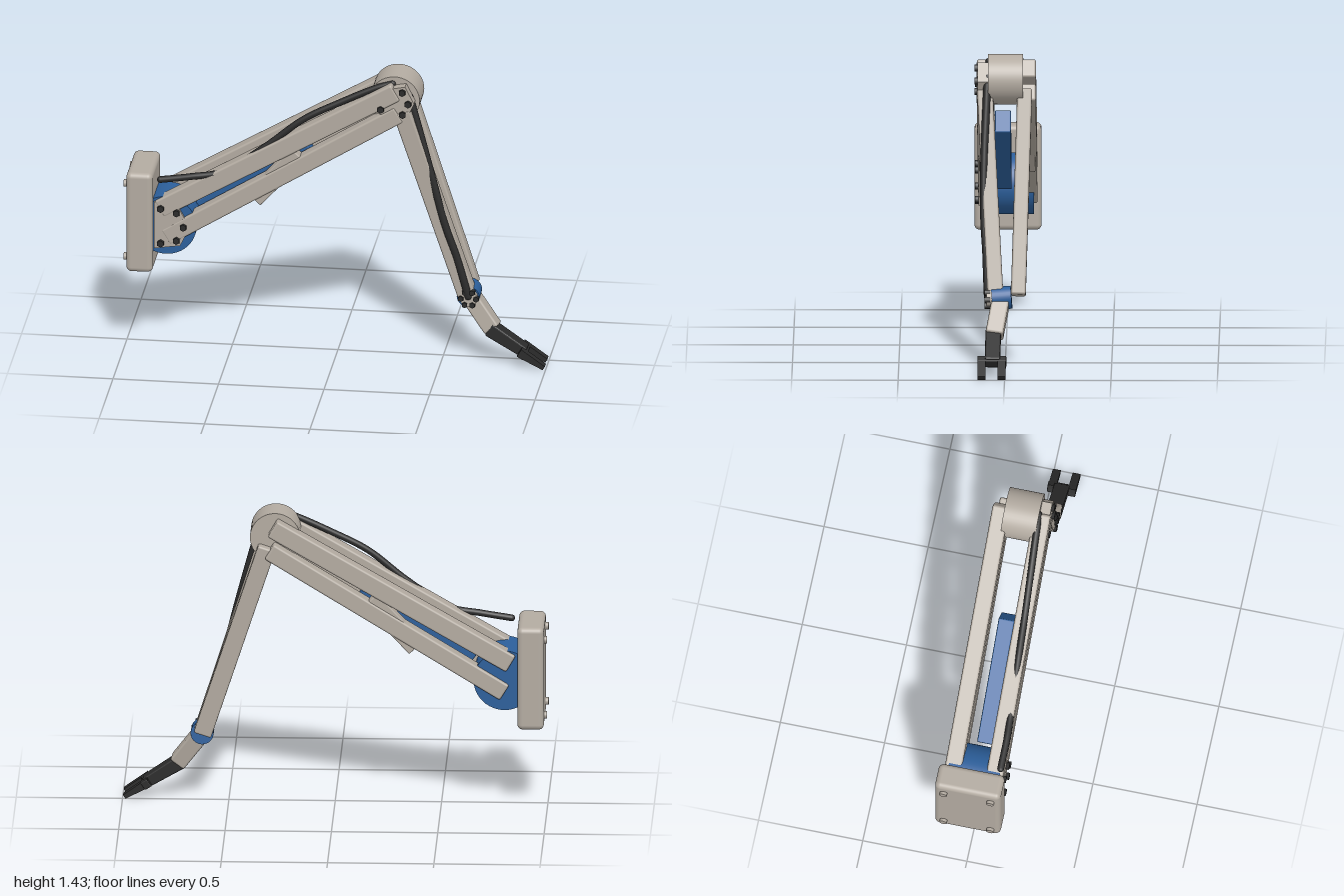
import * as THREE from 'three';
import { RoundedBoxGeometry } from 'three/addons/geometries/RoundedBoxGeometry.js';

export function createModel() {
  const model = new THREE.Group();
  model.name = 'robotArm';
  const mat = (name, color) => {
    const m = new THREE.MeshStandardMaterial({ color });
    m.name = name;
    return m;
  };
  const shell = mat('warmGrey', 0xb3aba1);
  const blue = mat('motorBlue', 0x2c5f9b);
  const black = mat('rubberBlack', 0x2b2b2b);

  const add = (name, geometry, material, parent = model) => {
    const mesh = new THREE.Mesh(geometry, material);
    mesh.name = name;
    parent.add(mesh);
    return mesh;
  };

  // Bar between two points: width lies across the side plane, depth along z
  const beam = (name, a, b, width, depth, material, radius = 0.01, taper = 1) => {
    const p = new THREE.Vector3(...a), q = new THREE.Vector3(...b);
    const x = q.clone().sub(p), length = x.length();
    x.normalize();
    const y = new THREE.Vector3(0, 0, 1).cross(x).normalize();
    const z = x.clone().cross(y);
    const g = radius > 0
      ? new RoundedBoxGeometry(length, width, depth, 2, radius)
      : new THREE.BoxGeometry(length, width, depth);
    if (taper !== 1) {
      const pos = g.attributes.position;
      for (let i = 0; i < pos.count; i++) {
        const s = 1 + (taper - 1) * (pos.getX(i) / length + 0.5);
        pos.setY(i, pos.getY(i) * s);
      }
      g.computeVertexNormals();
    }
    g.applyMatrix4(new THREE.Matrix4().makeBasis(x, y, z));
    return add(name, g, material).position.copy(p.add(q).multiplyScalar(0.5));
  };

  // Drum with its axis along z
  const drum = (name, x, y, z0, z1, r, material, sides = 48) => {
    const g = new THREE.CylinderGeometry(r, r, z1 - z0, sides).rotateX(Math.PI / 2);
    const mesh = add(name, g, material);
    mesh.position.set(x, y, (z0 + z1) / 2);
    return mesh;
  };

  // Flat side plate from an outline
  const plate = (name, points, z, depth) => {
    const shape = new THREE.Shape(points.map(([x, y]) => new THREE.Vector2(x, y)));
    const g = new THREE.ExtrudeGeometry(shape, { depth, bevelEnabled: false });
    add(name, g, shell).position.z = z;
  };

  const cable = (name, points, r) => {
    const path = new THREE.CatmullRomCurve3(points.map((p) => new THREE.Vector3(...p)));
    add(name, new THREE.TubeGeometry(path, 48, r, 12), black);
    for (const p of [points[0], points[points.length - 1]]) {
      add(name + 'End', new THREE.SphereGeometry(r, 12, 8), black).position.set(...p);
    }
  };

  // Wall mount with four bolts on its back
  add('wallMount', new RoundedBoxGeometry(0.125, 0.5, 0.315, 4, 0.025), shell)
    .position.set(-0.923, 0.655, -0.002);
  for (const y of [0.47, 0.84]) {
    for (const z of [-0.115, 0.11]) {
      add('mountBolt', new THREE.CylinderGeometry(0.018, 0.018, 0.03, 12).rotateZ(Math.PI / 2), shell)
        .position.set(-0.985, y, z);
    }
  }

  // Shoulder and elbow motors
  drum('shoulderMotor', -0.8, 0.64, -0.125, 0.12, 0.145, blue);
  drum('elbowMotor', 0.28, 1.317, -0.082, 0.083, 0.118, shell);

  // Parallel upper arm bars and bracket links on both sides
  for (const z of [0.096, -0.102]) {
    beam('upperArmTopBar', [-0.83, 0.723, z], [0.29, 1.373, z], 0.09, 0.08, shell);
    beam('upperArmLowerBar', [-0.8, 0.582, z], [0.305, 1.262, z], 0.085, 0.08, shell);
    beam('linkBracket', [-0.385, 0.797, z], [-0.17, 1.03, z], 0.09, 0.066, shell, 0.006);
  }

  // Drive housing between the bars
  beam('driveHousing', [-0.635, 0.69, 0.016], [-0.135, 1.048, 0.016], 0.115, 0.075, blue, 0.006);

  // Bolted side plates at shoulder and elbow
  plate('shoulderPlate', [[-0.855, 0.76], [-0.75, 0.755], [-0.685, 0.64], [-0.73, 0.545], [-0.855, 0.525]], 0.08, 0.054);
  plate('elbowPlate', [[0.18, 1.28], [0.24, 1.25], [0.34, 1.235], [0.378, 1.32], [0.335, 1.405], [0.26, 1.39]], 0.075, 0.056);
  const bolts = [
    [-0.822, 0.73], [-0.747, 0.712], [-0.715, 0.641], [-0.747, 0.572], [-0.822, 0.555],
    [0.322, 1.377], [0.35, 1.32], [0.324, 1.266], [0.22, 1.287],
  ];
  for (const [x, y] of bolts) drum('jointBolt', x, y, 0.125, x < 0 ? 0.152 : 0.145, 0.017, black, 6);

  // Forearm bars, converging on the wrist
  beam('forearmFrontBar', [0.317, 1.275, 0.098], [0.62, 0.335, 0.045], 0.085, 0.074, shell);
  beam('forearmBackBar', [0.317, 1.275, -0.09], [0.622, 0.345, -0.062], 0.085, 0.07, shell);

  // Wrist motor with a ring of bolts
  const wrist = drum('wristMotor', 0.625, 0.333, -0.03, 0.062, 0.054, blue, 32);
  wrist.rotation.x = 0.08;
  drum('wristCap', 0.63, 0.33, 0.06, 0.088, 0.042, shell, 24);
  for (let i = 0; i < 6; i++) {
    const a = (i * Math.PI) / 3;
    drum('wristBolt', 0.63 + 0.036 * Math.cos(a), 0.33 + 0.036 * Math.sin(a), 0.07, 0.097, 0.014, black, 6);
  }

  // Hand and gripper
  beam('hand', [0.625, 0.33, 0.018], [0.742, 0.172, 0.05], 0.08, 0.083, shell);
  beam('gripperPalm', [0.725, 0.178, 0.055], [0.895, 0.07, 0.058], 0.07, 0.072, black, 0.008, 0.75);
  beam('gripperCrossbar', [0.875, 0.083, 0.06], [0.905, 0.063, 0.06], 0.042, 0.136, black, 0.005);
  for (const z of [0.109, 0.014]) {
    beam('gripperFinger', [0.875, 0.083, z], [0.992, 0.012, z], 0.042, 0.038, black, 0, 0.5);
  }

  // Cables along the upper arm and forearm
  cable('upperCable', [[-0.825, 0.872, 0.125], [-0.68, 0.895, 0.125], [-0.53, 0.925, 0.118],
    [-0.33, 1.06, 0.108], [-0.15, 1.205, 0.103], [0.02, 1.295, 0.094], [0.2, 1.378, 0.084], [0.27, 1.4, 0.08]], 0.016);
  cable('forearmCable', [[0.35, 1.34, 0.085], [0.385, 1.22, 0.09], [0.455, 0.96, 0.1],
    [0.522, 0.7, 0.1], [0.575, 0.54, 0.09], [0.605, 0.43, 0.086], [0.628, 0.34, 0.082]], 0.018);

  return model;
}
